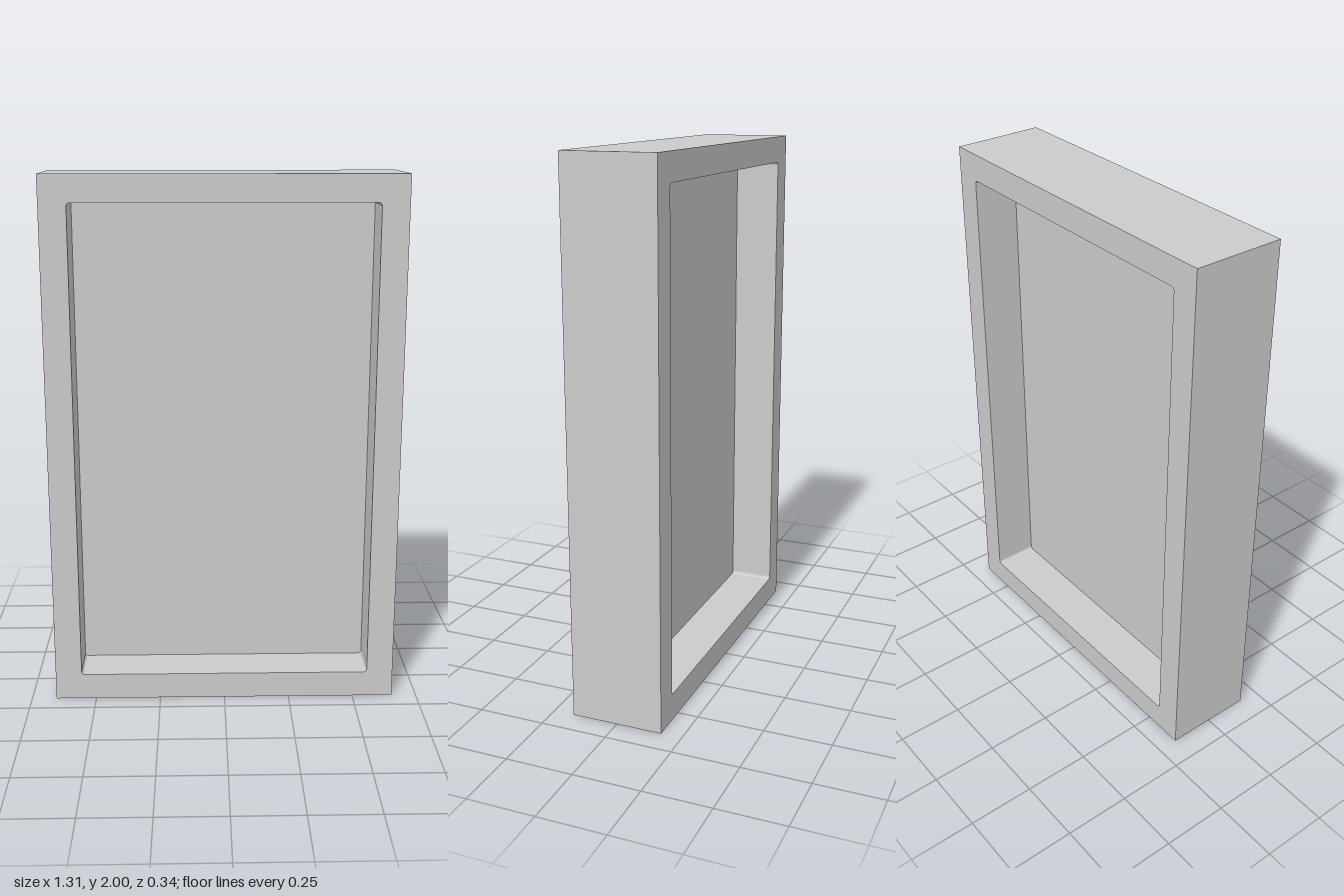
import * as THREE from 'three';

const WIDTH = 1.31, HEIGHT = 2, DEPTH = 0.344, BORDER = 0.1, RADIUS = 0.012;

// Rounded rectangle standing on y = inset, centred on x = 0
function traceOpening(path, inset, r) {
  const x = WIDTH / 2 - inset, y0 = inset, y1 = HEIGHT - inset;
  path.moveTo(-x + r, y0);
  path.lineTo(x - r, y0);
  path.absarc(x - r, y0 + r, r, -Math.PI / 2, 0, false);
  path.lineTo(x, y1 - r);
  path.absarc(x - r, y1 - r, r, 0, Math.PI / 2, false);
  path.lineTo(-x + r, y1);
  path.absarc(-x + r, y1 - r, r, Math.PI / 2, Math.PI, false);
  path.lineTo(-x, y0 + r);
  path.absarc(-x + r, y0 + r, r, Math.PI, Math.PI * 1.5, false);
  return path;
}

export function createModel() {
  const group = new THREE.Group();
  group.name = 'framedPanel';

  // Square-edged outer frame with a softly rounded opening
  const outline = new THREE.Shape([
    new THREE.Vector2(-WIDTH / 2, 0),
    new THREE.Vector2(WIDTH / 2, 0),
    new THREE.Vector2(WIDTH / 2, HEIGHT),
    new THREE.Vector2(-WIDTH / 2, HEIGHT),
  ]);
  outline.holes.push(traceOpening(new THREE.Path(), BORDER, RADIUS));
  const frameGeometry = new THREE.ExtrudeGeometry(outline, {
    depth: DEPTH, bevelEnabled: false, curveSegments: 6,
  });
  frameGeometry.translate(0, 0, -DEPTH / 2);
  const frame = new THREE.Mesh(frameGeometry, new THREE.MeshStandardMaterial({ color: 0xcccccc }));
  frame.name = 'frame';
  group.add(frame);

  // Thin panel halfway through the frame, recessed on both sides
  const panel = new THREE.Mesh(
    new THREE.ShapeGeometry(traceOpening(new THREE.Shape(), BORDER, RADIUS), 6),
    new THREE.MeshStandardMaterial({ color: 0xcccccc, side: THREE.DoubleSide }),
  );
  panel.name = 'panel';
  group.add(panel);

  return group;
}
